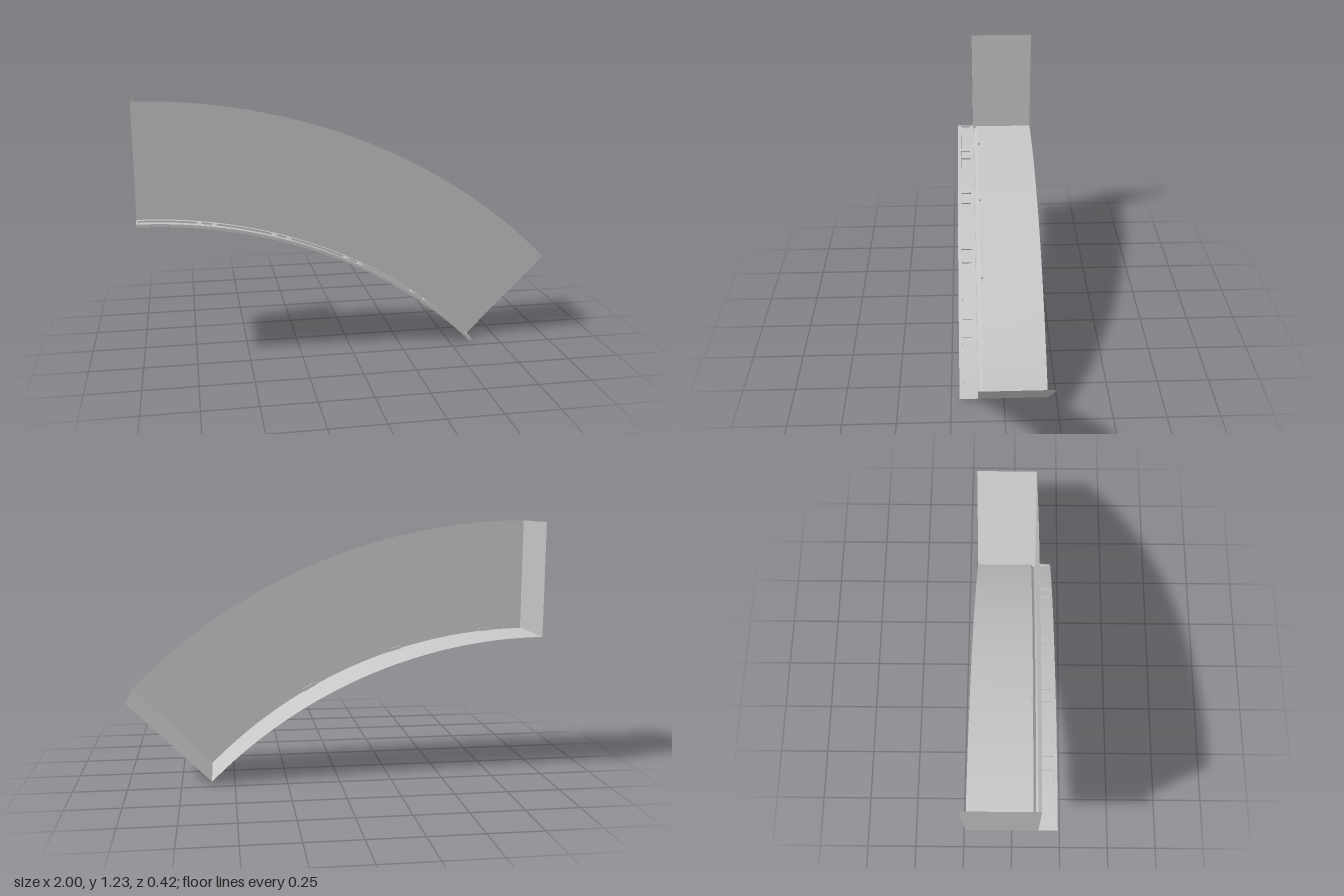
import * as THREE from 'three';

const CX = -1, CY = -1.597;           // centre of the arch
const END = Math.PI / 4;              // the arch turns through 45 degrees
const RIM = 2.28, FLOOR = 2.274, LIP = 2.259, OUTER = 2.828;
const BACK = -0.208, WALL = 0.123, FRONT = 0.21;

const grey = new THREE.MeshStandardMaterial({ color: 0xc6c6c6, side: THREE.DoubleSide });
grey.name = 'plain grey';

// Soffit section as [z, radius]: level, then sloping down to a lip at the wall
const SOFFIT = [[BACK, FLOOR], [0.1, FLOOR], [0.113, LIP], [WALL, LIP]];

// Angle from the vertical at which the rim reaches a given x
const angleAt = (x) => Math.min(END, Math.asin((x - CX) / RIM));

// Sweep a [z, radius] profile round the arch; smooth along it, sharp across it
function sweep(name, profile, a0 = 0, a1 = END, closed = false) {
  const pos = [], idx = [];
  const steps = Math.max(2, Math.ceil((a1 - a0) / END * 64));
  const put = ([z, r], a) => pos.push(CX + r * Math.sin(a), CY + r * Math.cos(a), z);
  const sides = closed ? profile.length : profile.length - 1;
  for (let s = 0; s < sides; s++) {
    const base = pos.length / 3;
    for (let i = 0; i <= steps; i++) {
      const a = a0 + (a1 - a0) * i / steps;
      put(profile[s], a);
      put(profile[(s + 1) % profile.length], a);
      if (i < steps) {
        const k = base + i * 2;
        idx.push(k, k + 1, k + 2, k + 1, k + 3, k + 2);
      }
    }
  }
  // End caps of solid bars
  if (closed) {
    [a0, a1].forEach((a, end) => {
      const b = pos.length / 3;
      profile.forEach((p) => put(p, a));
      for (let i = 1; i < profile.length - 1; i++) {
        if (end) idx.push(b, b + i, b + i + 1);
        else idx.push(b, b + i + 1, b + i);
      }
    });
  }
  const g = new THREE.BufferGeometry();
  g.setAttribute('position', new THREE.Float32BufferAttribute(pos, 3));
  g.setIndex(idx);
  g.computeVertexNormals();
  const mesh = new THREE.Mesh(g, grey);
  mesh.name = name;
  return mesh;
}

// Curved bar with a rectangular section
const bar = (name, z0, z1, r0, r1, a0, a1) =>
  sweep(name, [[z0, r0], [z0, r1], [z1, r1], [z1, r0]], a0, a1, true);

// Flat sheet closing the arch at one angle, its lower edge following the soffit
function endWall(name, a) {
  const outline = [...SOFFIT, [WALL, OUTER], [BACK, OUTER]];
  const g = new THREE.ShapeGeometry(
    new THREE.Shape(outline.map(([z, r]) => new THREE.Vector2(r, z))));
  g.rotateX(Math.PI / 2);
  g.rotateZ(Math.PI / 2 - a);
  g.translate(CX, CY, 0);
  const mesh = new THREE.Mesh(g, grey);
  mesh.name = name;
  return mesh;
}

export function createModel() {
  const model = new THREE.Group();
  model.name = 'archSegment';

  // Open shell: front wall, curved soffit with a dropped lip, two end walls
  model.add(sweep('frontWall', [[WALL, LIP], [WALL, OUTER]]));
  model.add(sweep('soffit', SOFFIT));
  model.add(endWall('uprightEnd', 0), endWall('slopingEnd', END));

  // Projecting ledge: thin base with a raised frame
  const ledge = new THREE.Group();
  ledge.name = 'ledge';
  const low = 2.266, sunk = 2.271;
  ledge.add(bar('ledgeBase', WALL, FRONT, low, sunk, 0, END));
  ledge.add(bar('innerRail', WALL, 0.142, sunk, RIM, 0, END));
  ledge.add(bar('outerRail', 0.192, FRONT, sunk, RIM, 0, END));

  // Cross bars between alternating long and short panels
  const gaps = [[-1, -0.993], [-0.725, -0.705], [-0.655, -0.635], [-0.375, -0.355],
    [-0.305, -0.285], [-0.03, -0.01], [0.04, 0.06], [0.305, 0.32], [0.37, 0.39], [0.6, 0.62]];
  gaps.forEach(([x0, x1]) =>
    ledge.add(bar('crossBar', 0.142, 0.192, sunk, RIM, angleAt(x0), angleAt(x1))));
  model.add(ledge);

  // Small tabs standing on the soffit behind the wall
  [-0.8, -0.33, 0.11].forEach((x) =>
    model.add(bar('tab', 0.089, 0.096, 2.268, 2.289, angleAt(x - 0.03), angleAt(x + 0.03))));

  return model;
}
